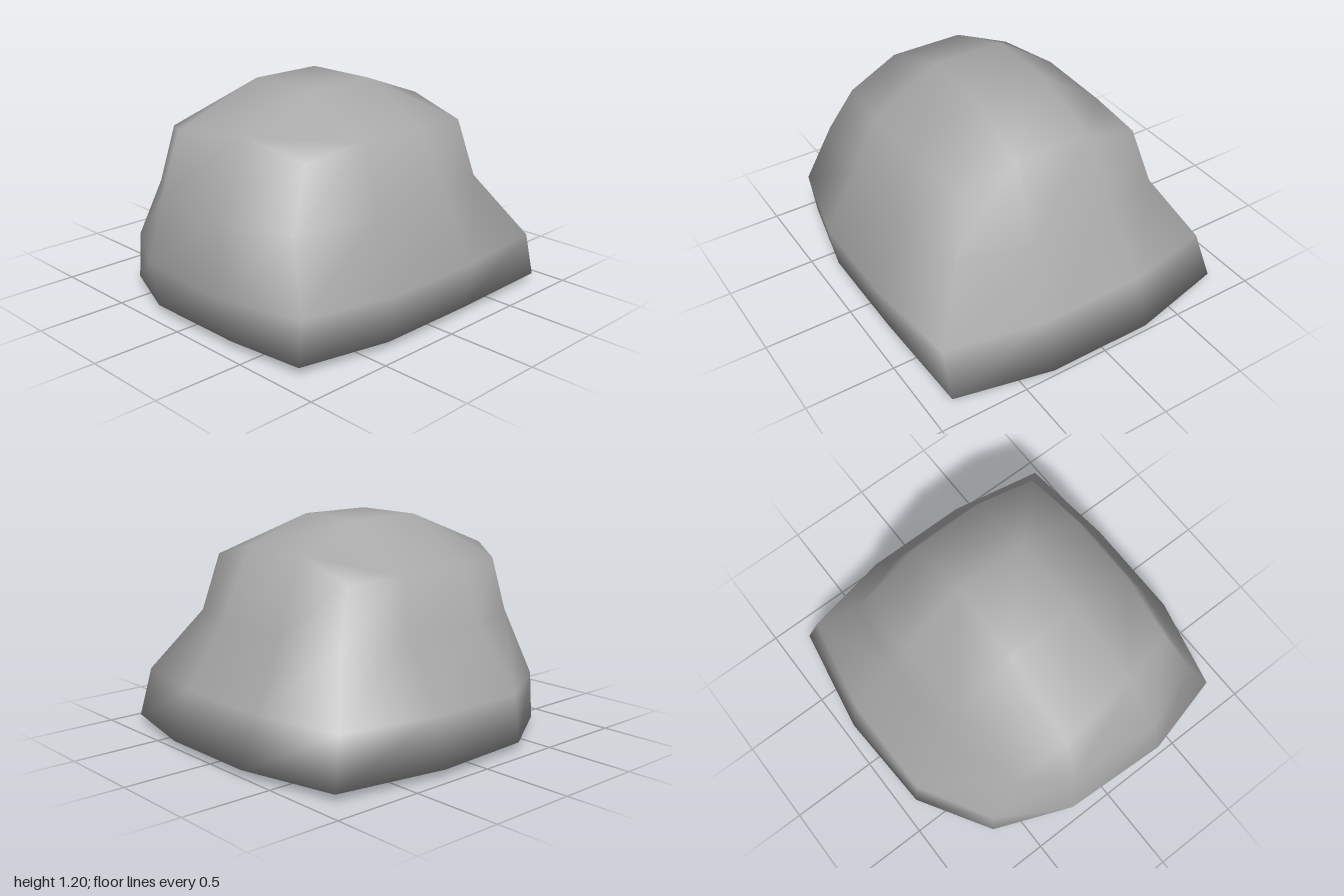
import * as THREE from 'three';

const stoneGrey = new THREE.MeshStandardMaterial({ color: 0xaaaaaa });
stoneGrey.name = 'stoneGrey';

// Cross-section loops, each from the back-left corner clockwise seen from above: [x, z]
const footRing = [[-0.76, -0.66], [-0.35, -0.91], [0.24, -0.94], [0.87, -0.83], [1, -0.27], [1, 0.33],
  [0.88, 0.87], [0.24, 0.89], [-0.36, 0.89], [-0.87, 0.78], [-0.92, 0.34], [-0.92, -0.26]];
const bellyRing = [[-0.75, -0.65], [-0.35, -0.88], [0.24, -0.88], [0.8, -0.77], [0.9, -0.27], [0.9, 0.33],
  [0.8, 0.87], [0.24, 0.93], [-0.36, 0.93], [-0.88, 0.81], [-1, 0.34], [-0.97, -0.26]];
const waistRing = [[-0.72, -0.47], [-0.33, -0.62], [0.2, -0.62], [0.6, -0.56], [0.71, -0.22], [0.71, 0.28],
  [0.58, 0.65], [0.2, 0.76], [-0.32, 0.76], [-0.8, 0.67], [-0.94, 0.3], [-0.9, -0.22]];
const shoulderRing = [[-0.64, -0.44], [-0.3, -0.53], [0.15, -0.53], [0.5, -0.5], [0.53, -0.18], [0.53, 0.25],
  [0.5, 0.59], [0.15, 0.62], [-0.28, 0.62], [-0.64, 0.58], [-0.73, 0.26], [-0.79, -0.2]];
const shoulderHeights = [0.95, 0.95, 0.94, 0.94, 1.05, 1.06, 0.97, 1, 1, 0.96, 1.04, 1];

function rockGeometry() {
  const positions = [];
  const index = [];
  const addQuad = (a, b, c, d) => index.push(a, b, c, a, c, d);
  const addLoop = (points, heightAt) =>
    points.forEach(([x, z], i) => positions.push(x, heightAt(i), z));

  addLoop(footRing, () => 0.04);
  addLoop(bellyRing, () => 0.3);
  addLoop(waistRing, () => 0.65);
  addLoop(shoulderRing, (i) => shoulderHeights[i]);

  // Sides
  for (let level = 0; level < 3; level++) {
    for (let i = 0; i < 12; i++) {
      const a = level * 12 + i;
      const b = level * 12 + (i + 1) % 12;
      addQuad(b, a, a + 12, b + 12);
    }
  }

  // A cap is a 3 x 3 patch: the ring around four inner points
  const addCap = (start, inner, y, up) => {
    const n = positions.length / 3;
    addLoop(inner, () => y);
    const r = (i) => start + i;
    const grid = [
      [r(0), r(1), r(2), r(3)],
      [r(11), n, n + 1, r(4)],
      [r(10), n + 2, n + 3, r(5)],
      [r(9), r(8), r(7), r(6)],
    ];
    for (let j = 0; j < 3; j++) {
      for (let i = 0; i < 3; i++) {
        const q = [grid[j][i], grid[j + 1][i], grid[j + 1][i + 1], grid[j][i + 1]];
        addQuad(...(up ? q : q.reverse()));
      }
    }
  };
  addCap(36, [[-0.28, -0.17], [0.15, -0.17], [-0.28, 0.24], [0.15, 0.24]], 1.2, true);
  addCap(0, [[-0.38, -0.28], [0.28, -0.28], [-0.38, 0.33], [0.28, 0.33]], 0, false);

  const geometry = new THREE.BufferGeometry();
  geometry.setAttribute('position', new THREE.Float32BufferAttribute(positions, 3));
  geometry.setIndex(index);
  geometry.computeVertexNormals();
  return geometry;
}

export function createModel() {
  const group = new THREE.Group();
  group.name = 'rock';
  const boulder = new THREE.Mesh(rockGeometry(), stoneGrey);
  boulder.name = 'boulder';
  group.add(boulder);
  return group;
}
